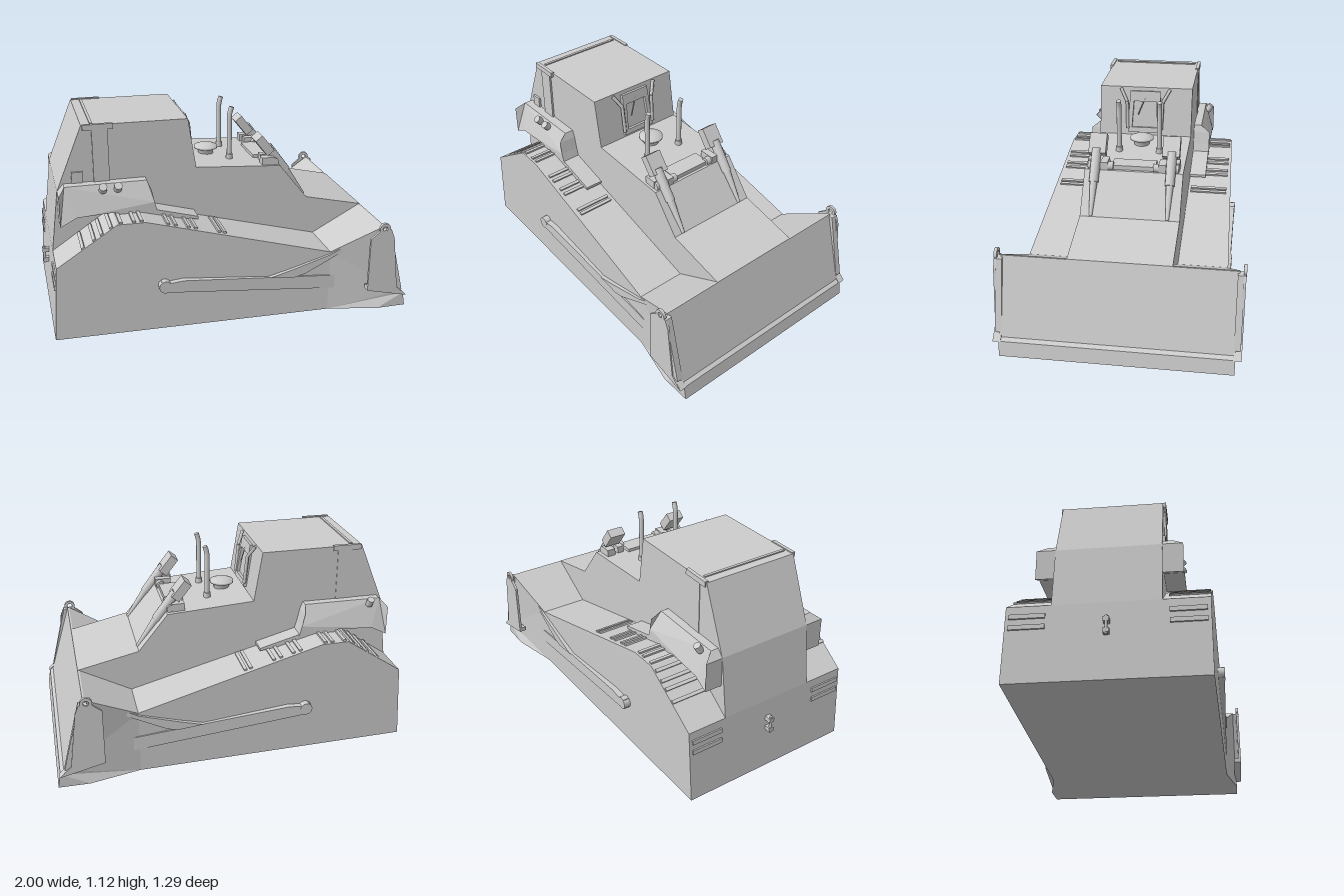
import * as THREE from 'three';

export function createModel() {
  const root = new THREE.Group();
  root.name = 'bulldozer';
  const grey = new THREE.MeshStandardMaterial({ color: 0xcccccc });
  grey.name = 'plain grey';

  const add = (name, geo, x = 0, y = 0, z = 0, rz = 0) => {
    const m = new THREE.Mesh(geo, grey);
    m.name = name;
    m.position.set(x, y, z);
    m.rotation.z = rz;
    root.add(m);
    return m;
  };
  const box = (name, w, h, d, x, y, z, rz = 0) =>
    add(name, new THREE.BoxGeometry(w, h, d), x, y, z, rz);
  const shapeOf = (pts) => new THREE.Shape(pts.map((p) => new THREE.Vector2(...p)));
  // side profile (x, y) extruded from z0 to z1
  const slab = (pts, z0, z1) =>
    new THREE.ExtrudeGeometry(shapeOf(pts), { depth: z1 - z0, bevelEnabled: false }).translate(0, 0, z0);
  const rod = (name, a, b, r0, r1 = r0, sides = 12) => {
    const p = new THREE.Vector3(...a), q = new THREE.Vector3(...b);
    const dir = q.clone().sub(p);
    const m = add(name, new THREE.CylinderGeometry(r1, r0, dir.length(), sides));
    m.position.copy(p).add(q).multiplyScalar(0.5);
    m.quaternion.setFromUnitVectors(new THREE.Vector3(0, 1, 0), dir.normalize());
    return m;
  };
  const lerpTable = (t, x) => {
    for (let i = 1; i < t.length; i++) {
      if (x <= t[i][0]) {
        const [x0, v0] = t[i - 1], [x1, v1] = t[i];
        return v0 + (v1 - v0) * Math.max(0, (x - x0) / (x1 - x0));
      }
    }
    return t[t.length - 1][1];
  };

  // lower hull with tracks and blade: half width grows toward the blade
  const width = [[-0.985, 0.497], [-0.4, 0.515], [0.55, 0.545], [0.83, 0.61], [1, 0.61]];
  const hull = slab([
    [-0.985, 0], [0.55, 0], [0.83, 0], [1, 0], [0.985, 0.08], [0.965, 0.095], [0.84, 0.51], [0.83, 0.51],
    [0.55, 0.36], [-0.48, 0.638], [-0.63, 0.638], [-0.955, 0.42],
  ], -1, 1);
  const pos = hull.attributes.position;
  for (let i = 0; i < pos.count; i++) pos.setZ(i, pos.getZ(i) * lerpTable(width, pos.getX(i)));
  hull.computeVertexNormals();
  add('hull', hull);

  // cab, engine hood and nose in one block
  add('cabAndHood', slab([
    [-0.985, 0], [0.84, 0], [0.84, 0.512], [0.5, 0.59], [0.335, 0.795], [-0.15, 0.828],
    [-0.195, 1.108], [-0.765, 1.112], [-0.91, 0.76], [-0.955, 0.42],
  ], -0.275, 0.267));

  // cab windscreen frame on the sloping front wall
  const frame = shapeOf([[-0.1, 0], [0.1, 0], [0.088, 0.245], [-0.088, 0.245]]);
  frame.holes.push(new THREE.Path(
    [[-0.075, 0.03], [-0.066, 0.185], [0.066, 0.185], [0.075, 0.03]].map((p) => new THREE.Vector2(...p))));
  const screen = new THREE.Group();
  screen.name = 'windscreen';
  screen.position.set(-0.153, 0.845, 0);
  screen.rotation.z = 0.16;
  const frameMesh = new THREE.Mesh(
    new THREE.ExtrudeGeometry(frame, { depth: 0.018, bevelEnabled: false }).rotateY(Math.PI / 2), grey);
  frameMesh.name = 'windscreenFrame';
  screen.add(frameMesh);
  root.add(screen);
  rod('wiper', [-0.155, 0.95, 0.04], [-0.17, 1.05, 0], 0.003, 0.003, 6);

  // roof trim
  box('roofRearTrim', 0.015, 0.01, 0.5, -0.71, 1.113, 0);

  for (const s of [1, -1]) {
    const side = (a, b) => (s > 0 ? [a, b] : [-b, -a]);

    // roof gutter, door pillar and windscreen posts
    box('roofGutter', 0.16, 0.03, 0.02, -0.68, 1.102, s * 0.272);
    box('doorPillar', 0.085, 0.3, 0.012, -0.67, 0.94, s * 0.272);
    rod('windscreenPost', [-0.19, 1.1, s * 0.145], [-0.155, 1.03, s * 0.105], 0.01, 0.01, 6);
    rod('windscreenPost', [-0.155, 1.03, s * 0.105], [-0.14, 0.87, s * 0.1], 0.01, 0.01, 6);

    // side tank with chamfered upper edges
    const tank = slab([
      [-0.91, 0.595], [-0.82, 0.642], [-0.62, 0.652], [-0.39, 0.635], [-0.405, 0.69], [-0.42, 0.76],
      [-0.435, 0.8], [-0.875, 0.8], [-0.91, 0.76],
    ], ...side(0.25, 0.372));
    const tp = tank.attributes.position;
    for (let i = 0; i < tp.count; i++) {
      if (tp.getY(i) > 0.79 && Math.abs(tp.getZ(i)) > 0.3) tp.setZ(i, s * 0.32);
    }
    tank.computeVertexNormals();
    add('sideTank', tank);

    // fender ahead of the tank
    add('fender', slab([[-0.62, 0.63], [-0.165, 0.565], [-0.165, 0.58], [-0.4, 0.645], [-0.62, 0.655]],
      ...side(0.25, 0.37)));

    // track shoes: paired ribs following the shelf
    for (const x of [-0.81, -0.75, -0.71, -0.66, -0.61, -0.54, -0.5, -0.36, -0.32, -0.25, -0.21, -0.08, -0.05]) {
      const back = x < -0.63, flat = !back && x < -0.48;
      const y = back ? 0.638 + (x + 0.63) * 0.67 : flat ? 0.638 : 0.638 - (x + 0.48) * 0.27;
      box('trackShoe', 0.018, 0.014, 0.21, x, y + 0.003, s * 0.395, back ? 0.59 : flat ? 0 : -0.264);
    }
    for (const y of [0.3, 0.36]) box('rearTrackShoe', 0.012, 0.025, 0.18, -0.966 + (y - 0.3) * 0.07, y, s * 0.39, -0.07);

    // push arm with rounded rear joint, and diagonal brace
    add('pushArm', slab([[-0.41, 0.235], [0.62, 0.13], [0.62, 0.21], [-0.29, 0.292], [-0.36, 0.285], [-0.41, 0.295]],
      ...side(0.49, 0.55)));
    add('armBrace', slab([[0.2, 0.25], [0.34, 0.235], [0.4, 0.25], [0.76, 0.43], [0.76, 0.46], [0.55, 0.35], [0.32, 0.282]],
      ...side(0.5, 0.558)));
    const joint = add('armJoint', new THREE.CylinderGeometry(0.035, 0.035, 0.06, 12), -0.39, 0.265, s * 0.522);
    joint.rotation.x = Math.PI / 2;

    // blade end plate with lifting eye
    add('bladeEndPlate', slab([
      [0.745, 0.14], [0.99, 0.08], [0.925, 0.14], [0.885, 0.45], [0.865, 0.5], [0.8, 0.5], [0.745, 0.455],
    ], ...side(0.628, 0.642)));
    add('bladeEndLip', slab([[0.745, 0.14], [0.99, 0.08], [0.96, 0.11], [0.745, 0.165]], ...side(0.6, 0.64)));
    add('bladeEdge', slab([[0.82, 0.5], [0.865, 0.5], [0.96, 0.12], [0.93, 0.12]], ...side(0.6, 0.635)));
    const eye = new THREE.Shape().absarc(0.825, 0.51, 0.032, 0, Math.PI * 2);
    eye.holes.push(new THREE.Path().absarc(0.825, 0.51, 0.015, 0, Math.PI * 2, true));
    const eyeGeo = new THREE.ExtrudeGeometry(eye, { depth: 0.016, bevelEnabled: false, curveSegments: 10 });
    add('liftingEye', eyeGeo, 0, 0, s > 0 ? 0.628 : -0.644);

    // exhaust pipe with bent tip
    rod('exhaustCollar', [0.08, 0.8, s * 0.115], [0.08, 0.84, s * 0.115], 0.02);
    const bend = new THREE.CatmullRomCurve3([[0.08, 0.81], [0.08, 0.95], [0.08, 1.06], [0.083, 1.085], [0.092, 1.112]]
      .map(([x, y]) => new THREE.Vector3(x, y, s * 0.115)));
    add('exhaustPipe', new THREE.TubeGeometry(bend, 16, 0.014, 10));
    rod('exhaustTip', [0.0915, 1.111, s * 0.115], [0.0922, 1.113, s * 0.115], 0.014);

    // headlight, blade lift cylinder and its mount
    box('headlight', 0.05, 0.115, 0.095, 0.25, 0.912, s * 0.203, 0.67);
    rod('liftCylinder', [0.275, 0.895, s * 0.208], [0.39, 0.745, s * 0.208], 0.028, 0.026);
    rod('liftRod', [0.38, 0.76, s * 0.208], [0.5, 0.592, s * 0.208], 0.022, 0.009);
    box('liftMount', 0.09, 0.05, 0.04, 0.29, 0.815, s * 0.16);
    box('liftMount', 0.07, 0.045, 0.05, 0.27, 0.82, s * 0.228);
    rod('mountPivot', [0.31, 0.812, s * 0.11], [0.31, 0.812, s * 0.25], 0.024);
  }

  // crossbar joining the lift mounts
  box('liftCrossbar', 0.1, 0.03, 0.24, 0.27, 0.805, 0);

  // air intake cap
  add('airIntake', new THREE.LatheGeometry([[0.045, 0.8], [0.045, 0.84], [0.068, 0.85], [0.068, 0.862], [0.035, 0.876], [0, 0.876]]
    .map((p) => new THREE.Vector2(...p)), 20), -0.03, 0, 0);

  // tank caps, side box and rear hitch
  for (const x of [-0.675, -0.595]) rod('tankCap', [x, 0.77, 0.335], [x, 0.798, 0.362], 0.022);
  rod('fillerCap', [-0.81, 0.77, -0.335], [-0.81, 0.81, -0.358], 0.02);
  box('sideBox', 0.06, 0.06, 0.03, -0.8, 0.832, 0.265);
  for (const y of [0.25, 0.31]) box('hitch', 0.04, 0.025, 0.03, -0.98, y, 0);
  rod('hitchPin', [-0.99, 0.23, 0], [-0.99, 0.33, 0], 0.008);

  return root;
}
